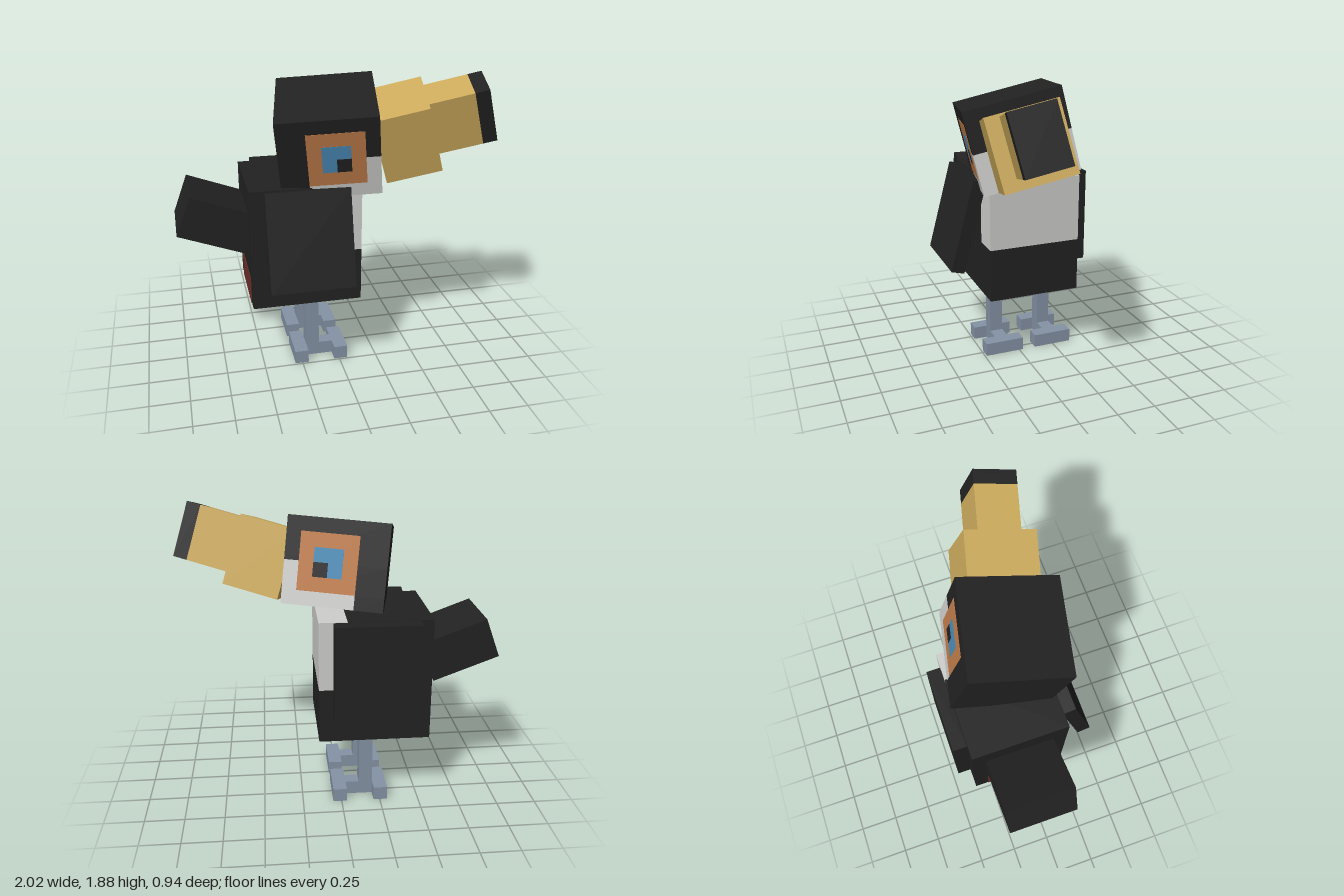
import * as THREE from 'three';

const U = 0.0878; // one block unit
const deg = THREE.MathUtils.degToRad;

const mat = (name, color) => {
  const m = new THREE.MeshStandardMaterial({ color });
  m.name = name;
  return m;
};

export function createModel() {
  const black = mat('black', 0x222222);
  const white = mat('white', 0xcfcfcd);
  const gold = mat('gold', 0xcdab5c);
  const orange = mat('orange', 0xc07c4a);
  const blue = mat('blue', 0x4a8cb8);
  const slate = mat('slate', 0x8593a6);
  const red = mat('red', 0x6e2f2b);

  const bird = new THREE.Group();
  bird.name = 'bird';

  const group = (parent, name, x, y, z) => {
    const g = new THREE.Group();
    g.name = name;
    g.position.set(x, y, z);
    parent.add(g);
    return g;
  };

  // Box from its minimum to its maximum corner
  const box = (parent, name, material, min, max) => {
    const size = max.map((v, i) => v - min[i]);
    const mesh = new THREE.Mesh(new THREE.BoxGeometry(...size), material);
    mesh.name = name;
    mesh.position.set(...max.map((v, i) => (v + min[i]) / 2));
    parent.add(mesh);
    return mesh;
  };
  // The same, measured in block units
  const unitBox = (parent, name, material, min, max) =>
    box(parent, name, material, min.map(v => v * U), max.map(v => v * U));

  // Body: 8 x 9 x 7 units with a white chest
  const body = group(bird, 'body', -0.208, 0.442, -0.072);
  unitBox(body, 'belly', black, [-4, 0, -3.5], [4, 4, 3.5]);
  unitBox(body, 'back', black, [-4, 4, -3.5], [2, 9, 3.5]);
  unitBox(body, 'chest', white, [2, 4, -3.5], [4, 9, 3.5]);
  // Red patch under the tail, wrapping onto the underside
  unitBox(body, 'rumpPatch', red, [-4.04, -0.04, -2.5], [-3.98, 2, 2.5]);
  unitBox(body, 'underTailPatch', red, [-4.04, -0.04, -2.5], [-2, 0.02, 2.5]);

  // Tail
  const tail = group(bird, 'tail', -0.748, 0.995, -0.075);
  tail.rotation.z = deg(-20.5);
  unitBox(tail, 'tailFeathers', black, [-2.5, -1.5, -2.5], [2.5, 1.5, 2.5]);

  // Wings: one swung out, one folded
  const wing = (name, y, z, tilt) => {
    const g = group(bird, name, -0.21, y, z);
    g.rotation.x = deg(tilt);
    unitBox(g, name + 'Panel', black, [-3, -3.5, -0.5], [3, 3.5, 0.5]);
  };
  wing('leftWing', 0.935, 0.346, -15);
  wing('rightWing', 0.923, -0.426, 0);

  // Legs with H-shaped feet
  for (const [side, z] of [['left', 0.106], ['right', -0.247]]) {
    const leg = group(bird, side + 'Leg', -0.297, 0, z);
    unitBox(leg, 'shin', slate, [1, 0, -0.5], [2, 5.05, 0.5]);
    unitBox(leg, 'backToes', slate, [0, 0, -1.5], [1, 1, 1.5]);
    unitBox(leg, 'footBridge', slate, [1, 0, -0.5], [3, 1, 0.5]);
    unitBox(leg, 'frontToes', slate, [3, 0, -1.5], [4, 1, 1.5]);
  }

  // Head: 7 x 6 x 7 units, cocked to one side
  const head = group(bird, 'head', -0.023, 1.495, 0.007);
  head.rotation.set(deg(13.7), deg(-10.5), deg(6.7));
  unitBox(head, 'crown', black, [-3.5, 0, -3.5], [3.5, 3, 3.5]);
  unitBox(head, 'cheeks', black, [-3.5, -2, -3.5], [2.5, 0, 3.5]);
  unitBox(head, 'nape', black, [-3.5, -3, -3.5], [-1.5, -2, 3.5]);
  unitBox(head, 'face', white, [2.5, -2, -3.5], [3.5, 0, 3.5]);
  unitBox(head, 'throat', white, [-1.5, -3, -3.5], [3.5, -2, 3.5]);

  // Eyes, layered as thin plates on both sides
  for (const s of [1, -1]) {
    const eye = group(head, s > 0 ? 'leftEye' : 'rightEye', 0, 0, s * 3.5 * U);
    const plate = (name, material, x0, y0, x1, y1, d) =>
      unitBox(eye, name, material, [x0, y0, -d], [x1, y1, d]);
    plate('eyePatch', orange, -1.5, -2, 2.5, 2, 0.025);
    plate('iris', blue, -0.5, -1, 1.5, 1, 0.04);
    plate('pupil', black, 0.5, -1, 1.5, 0, 0.055);
  }

  // Beak, pitched upward, with a dark tip
  const beak = group(head, 'beak', 0.476, -0.005, 0);
  beak.rotation.z = deg(10.5);
  unitBox(beak, 'beakBase', gold, [-2, -2.5, -2.5], [2, 2.5, 2.5]);
  box(beak, 'beakFront', gold, [0.17, -0.15, -0.132], [0.453, 0.202, 0.132]);
  box(beak, 'beakTip', black, [0.453, -0.15, -0.132], [0.541, 0.202, 0.132]);

  return bird;
}
